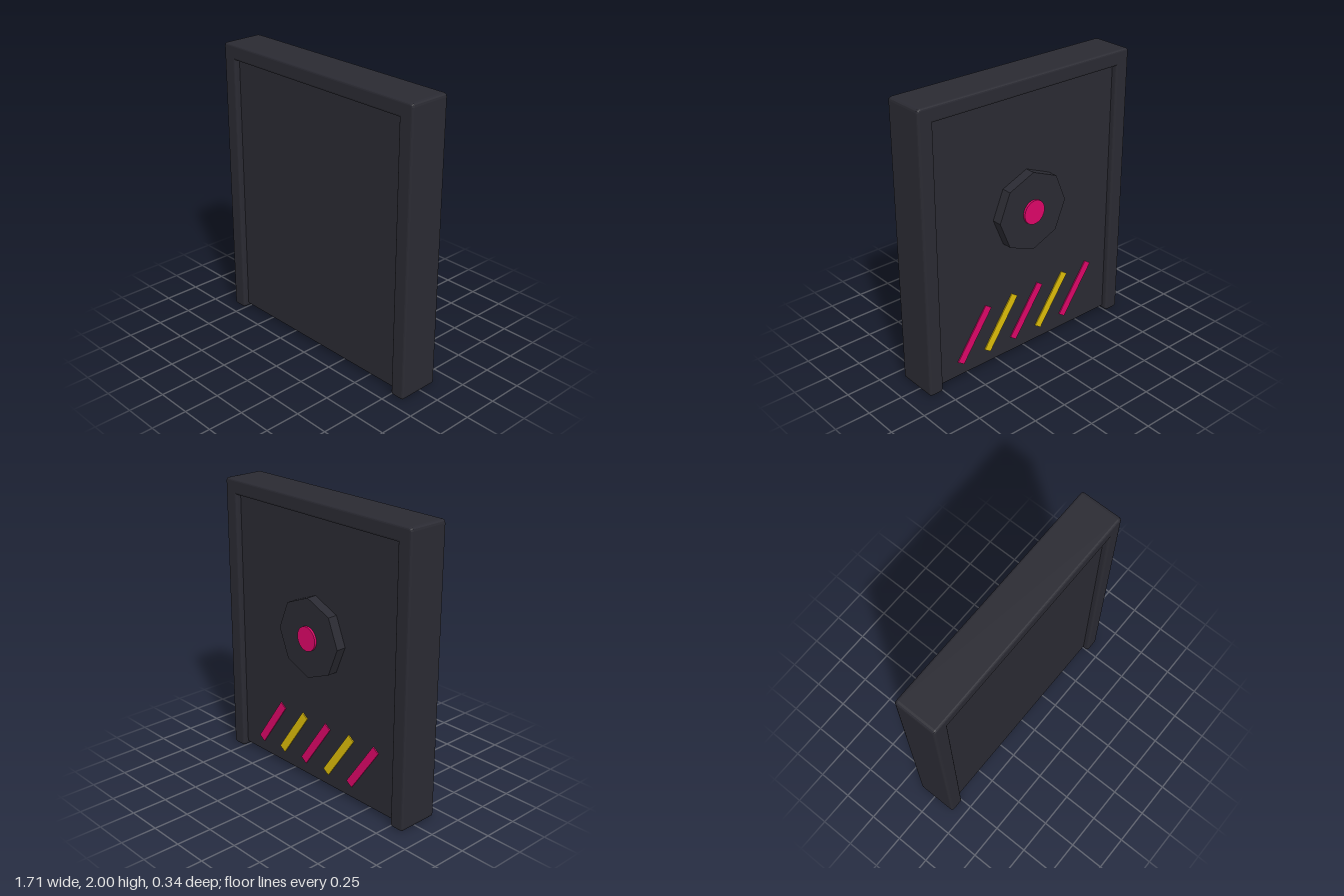
import * as THREE from 'three';
import { RoundedBoxGeometry } from 'three/addons/geometries/RoundedBoxGeometry.js';

const paint = (name, color) => {
  const m = new THREE.MeshStandardMaterial({ color });
  m.name = name;
  return m;
};

export function createModel() {
  const charcoal = paint('charcoal', 0x2a2a32);
  const magenta = paint('magenta', 0xdc0568);
  const yellow = paint('yellow', 0xdcbc08);
  const group = new THREE.Group();
  group.name = 'door';

  const add = (name, geometry, material, x, y, z) => {
    const mesh = new THREE.Mesh(geometry, material);
    mesh.name = name;
    mesh.position.set(x, y, z);
    group.add(mesh);
    return mesh;
  };

  // Frame: two posts and a header in one bevelled extrusion, open at the foot
  const W = 0.857, I = 0.75, H = 2, T = 1.895, B = 0.015, R = 0.024;
  const corners = [[-W, 0], [-I, 0], [-I, T], [I, T], [I, 0], [W, 0], [W, H], [-W, H]];
  const shape = new THREE.Shape();
  corners.forEach(([x, y], i) => {
    const toward = ([px, py]) => {
      const d = Math.hypot(px - x, py - y);
      return [x + (px - x) * R / d, y + (py - y) * R / d];
    };
    const a = toward(corners[(i + 7) % 8]);
    const b = toward(corners[(i + 1) % 8]);
    if (y === T) { shape.lineTo(x, y); return; }
    if (i === 0) shape.moveTo(...a); else shape.lineTo(...a);
    shape.quadraticCurveTo(x, y, ...b);
  });
  shape.closePath();
  const front = 0.17, back = -0.125;
  add('frame', new THREE.ExtrudeGeometry(shape, {
    depth: front - back - 2 * B, bevelThickness: B, bevelSize: B, bevelOffset: -B,
    bevelSegments: 3, curveSegments: 3,
  }), charcoal, 0, 0, back + B);

  // Recessed door leaf, sunk a little into the frame
  add('panel', new RoundedBoxGeometry(1.53, 1.9, 0.215, 3, 0.015), charcoal, 0, 0.97, 0.0225);

  // Octagonal boss with a round button on the back
  const boss = add('octagonBoss', new THREE.CylinderGeometry(0.28, 0.28, 0.075, 8).toNonIndexed(),
    charcoal, 0, 1.085, -0.1175);
  boss.geometry.computeVertexNormals();
  boss.rotation.x = Math.PI / 2;
  const button = add('button', new THREE.CylinderGeometry(0.085, 0.085, 0.03, 32),
    magenta, 0, 1.085, -0.155);
  button.rotation.x = Math.PI / 2;

  // Slanted warning stripes along the foot of the back
  for (let i = -2; i <= 2; i++) {
    const stripe = add('warningStripe', new THREE.BoxGeometry(0.058, 0.42, 0.009),
      i % 2 ? yellow : magenta, i * 0.227, 0.293, -0.088);
    stripe.rotation.z = 0.61;
  }
  return group;
}
